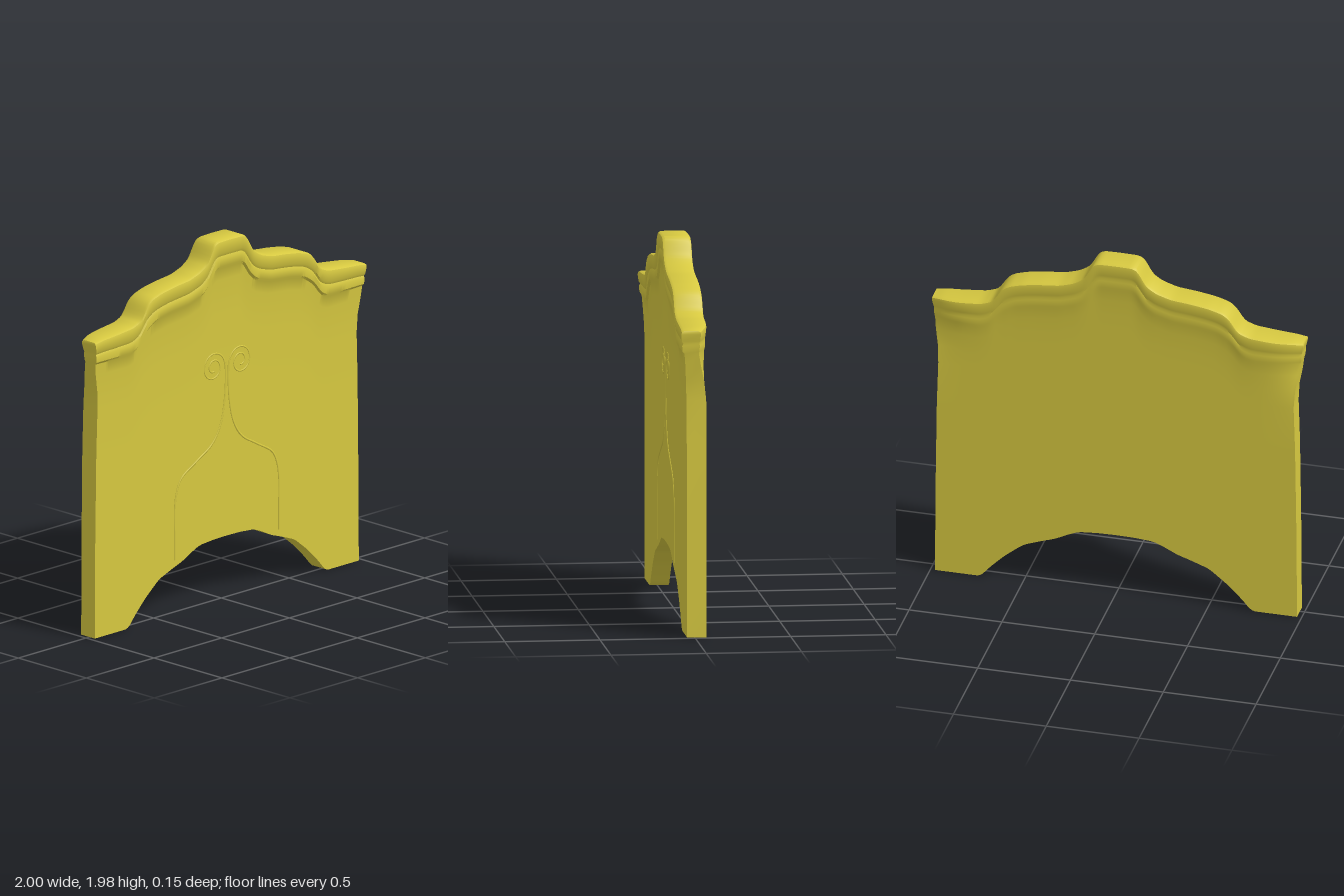
import * as THREE from 'three';
import { toCreasedNormals } from 'three/addons/utils/BufferGeometryUtils.js';

const material = new THREE.MeshStandardMaterial({ color: 0xd6c840 });

// Mirrored contours as [distance from centre, height]
const TOP = [[0, 1.98], [0.1, 1.978], [0.13, 1.955], [0.16, 1.885], [0.22, 1.845], [0.3, 1.82], [0.4, 1.81],
  [0.5, 1.795], [0.58, 1.772], [0.62, 1.74], [0.655, 1.675], [0.72, 1.65], [0.85, 1.637], [0.95, 1.63], [1, 1.62]];
const LOWER = [[0, 1.82], [0.1, 1.82], [0.15, 1.74], [0.2, 1.7], [0.3, 1.67], [0.45, 1.655], [0.55, 1.635],
  [0.62, 1.59], [0.68, 1.515], [0.73, 1.495], [1, 1.5]];
const ARCH = [[0, 0.35], [0.1, 0.348], [0.2, 0.34], [0.25, 0.32], [0.33, 0.28], [0.4, 0.257], [0.5, 0.22],
  [0.6, 0.14], [0.68, 0.06], [0.73, 0], [1, 0]];

// Rows from foot to crest: [v, half width, front z, back z].
// v: 0-1 moulding, 1-2 cove beneath it, 2-3 plain panel
const ROWS = [
  [3, 0.975, 0.04, -0.06], [2.97, 0.975, 0.04, -0.06], [2.6, 0.972, 0.04, -0.061], [2.2, 0.965, 0.041, -0.062],
  [2, 0.957, 0.042, -0.062], [1.6, 0.962, 0.045, -0.063], [1.25, 0.978, 0.05, -0.066], [1, 0.985, 0.055, -0.07],
  [0.9, 0.988, 0.066, -0.073], [0.65, 0.99, 0.068, -0.075], [0.55, 0.99, 0.062, -0.072],
  [0.45, 0.992, 0.07, -0.076], [0.15, 1, 0.074, -0.08], [0.05, 1, 0.07, -0.077], [0, 0.997, 0.058, -0.064],
];

function linear(points, x) {
  x = Math.min(Math.abs(x), 1);
  let i = 1;
  while (i < points.length - 1 && points[i][0] < x) i++;
  const [x0, y0] = points[i - 1], [x1, y1] = points[i];
  return y0 + (y1 - y0) * (x - x0) / (x1 - x0);
}

// Contour height with softened corners
function contour(points, x) {
  let sum = 0;
  for (let k = -2; k <= 2; k++) sum += linear(points, x + k * 0.009);
  return sum / 5;
}

function rowHeight(v, x) {
  const lerp = THREE.MathUtils.lerp;
  const low = contour(LOWER, x), coveEnd = low - 0.25;
  if (v <= 1) return lerp(contour(TOP, x), low, v);
  if (v <= 2) return lerp(low, coveEnd, v - 1);
  return lerp(coveEnd, contour(ARCH, x), v - 2);
}

// Shaped slab: one closed cross-section per column, swept from side to side
function slabGeometry() {
  const columns = 160, n = ROWS.length, loop = 2 * n;
  const positions = [], index = [];
  const quad = (a, b, c, d) => index.push(a, b, c, a, c, d);

  for (let i = 0; i <= columns; i++) {
    const u = -1 + 2 * i / columns;
    for (let j = 0; j < loop; j++) {
      const back = j >= n;
      const [v, width, zFront, zBack] = ROWS[back ? loop - 1 - j : j];
      const x = u * width;
      let z = back ? zBack : zFront;
      if (back) {
        // The crest curves forward at its back corners
        const corner = Math.max(0, (Math.abs(u) - 0.72) / 0.28);
        z += 0.05 * corner ** 3 * THREE.MathUtils.clamp((1.8 - v) / 0.8, 0, 1);
      }
      positions.push(x, rowHeight(v, x), z);
    }
  }
  for (let i = 0; i < columns; i++) {
    for (let j = 0; j < loop; j++) {
      const k = (j + 1) % loop, a = i * loop, b = a + loop;
      quad(a + j, b + j, b + k, a + k);
    }
  }
  // Side walls
  const end = columns * loop;
  for (let j = 0; j < n - 1; j++) {
    const b0 = loop - 1 - j, b1 = b0 - 1;
    quad(end + j, end + b0, end + b1, end + j + 1);
    quad(b0, j, j + 1, b1);
  }
  const geometry = new THREE.BufferGeometry();
  geometry.setAttribute('position', new THREE.Float32BufferAttribute(positions, 3));
  geometry.setIndex(index);
  return toCreasedNormals(geometry, 0.6);
}

// Fine raised line lying on the front face
function reliefLine(name, points, radius) {
  const curve = new THREE.CatmullRomCurve3(points.map(([x, y]) => new THREE.Vector3(x, y, 0)), false, 'centripetal');
  const mesh = new THREE.Mesh(new THREE.TubeGeometry(curve, 70, radius, 6), material);
  mesh.name = name;
  mesh.scale.z = 0.6;
  mesh.position.z = 0.041;
  return mesh;
}

export function createModel() {
  const group = new THREE.Group();
  group.name = 'headboard';

  const panel = new THREE.Mesh(slabGeometry(), material);
  panel.name = 'panelWithMoulding';
  group.add(panel);

  const stem = [[0.012, 1.3], [0.01, 1.2], [0.02, 1.08], [0.05, 0.96], [0.11, 0.872], [0.22, 0.805],
    [0.335, 0.735], [0.37, 0.67], [0.385, 0.58], [0.385, 0.45], [0.385, 0.3]];

  for (const side of [1, -1]) {
    const name = side > 0 ? 'left' : 'right';
    group.add(reliefLine(name + 'StemLine', stem.map(([x, y]) => [side * x, y]), 0.006));

    // Spiral scroll winding in from the top of the stem
    const scroll = [];
    for (let k = 0; k <= 36; k++) {
      const t = k / 36, angle = Math.PI - t * Math.PI * 3.6, r = 0.085 - 0.065 * t;
      scroll.push([side * (0.1 + r * Math.cos(angle)), 1.285 + r * Math.sin(angle)]);
    }
    group.add(reliefLine(name + 'Scroll', scroll, 0.005));
  }
  return group;
}
